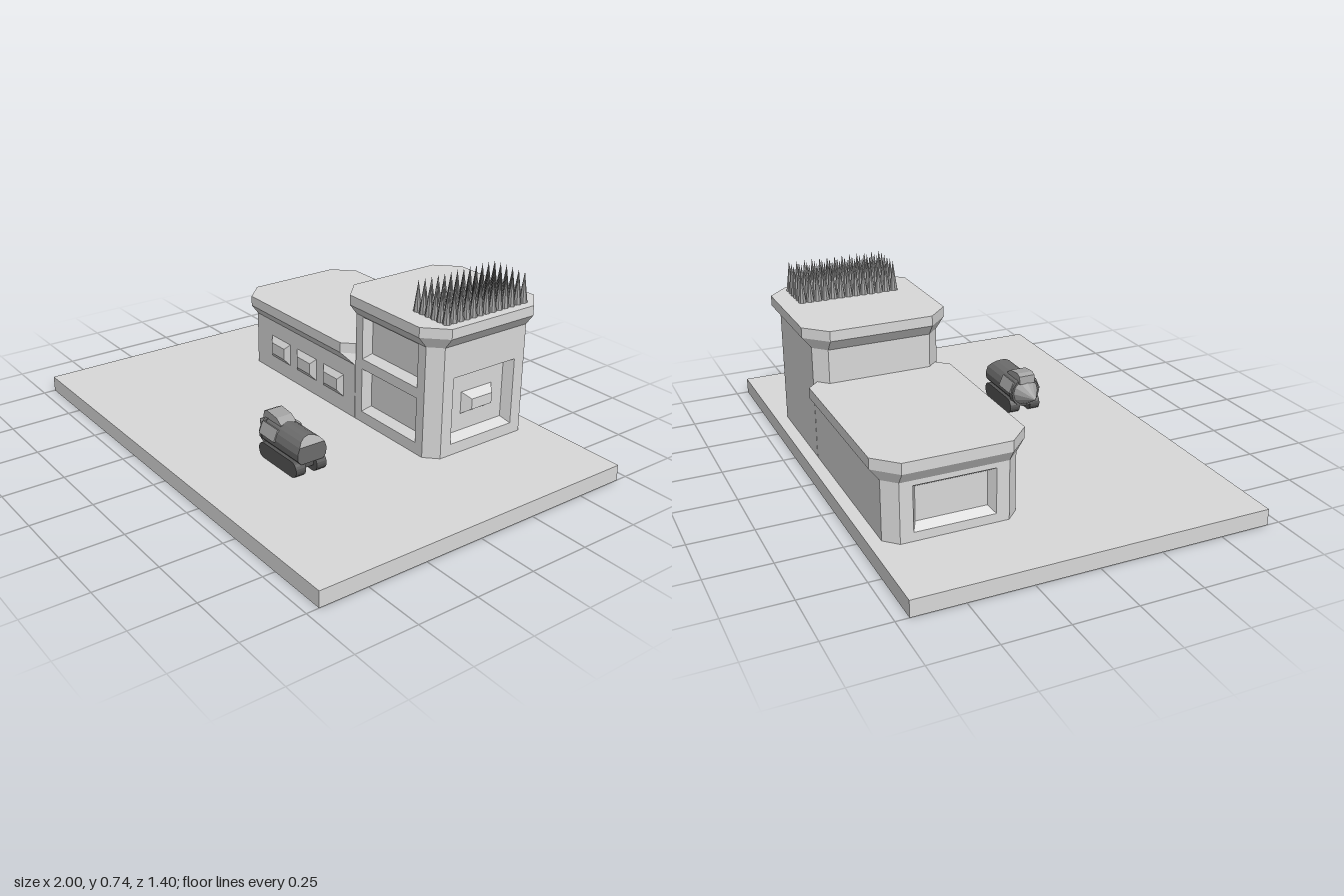
import * as THREE from 'three';

const concrete = new THREE.MeshStandardMaterial({ color: 0xd8d8d8, name: 'light concrete' });
const steel = new THREE.MeshStandardMaterial({ color: 0xa2a2a2, name: 'mid steel' });
const hullGrey = new THREE.MeshStandardMaterial({ color: 0x6c6c6c, name: 'hull grey' });
const trackGrey = new THREE.MeshStandardMaterial({ color: 0x565656, name: 'track grey' });

function flat(geometry) {
  const g = geometry.index ? geometry.toNonIndexed() : geometry;
  g.computeVertexNormals();
  return g;
}

function add(parent, name, geometry, material, x = 0, y = 0, z = 0) {
  const mesh = new THREE.Mesh(flat(geometry), material);
  mesh.name = name;
  mesh.position.set(x, y, z);
  parent.add(mesh);
  return mesh;
}

function fromTriangles(points) {
  const g = new THREE.BufferGeometry();
  g.setAttribute('position', new THREE.Float32BufferAttribute(points.flat(), 3));
  return g;
}

const quad = (a, b, c, d) => [a, b, c, a, c, d];

// Triangles filling a convex outline
function fan(points) {
  const tris = [];
  for (let i = 1; i + 1 < points.length; i++) tris.push(points[0], points[i], points[i + 1]);
  return tris;
}

// Rectangle with cut corners; side 1 is right, 3 back, 5 left, 7 front
function octagon(x0, x1, z0, z1, c, y) {
  return [[x1 - c, y, z1], [x1, y, z1 - c], [x1, y, z0 + c], [x1 - c, y, z0],
    [x0 + c, y, z0], [x0, y, z0 + c], [x0, y, z1 - c], [x0 + c, y, z1]];
}

// Skin through stacked octagons, optionally capped and with sides left open
function loft(rings, openSides = [], cap = false) {
  const tris = cap ? fan(rings[rings.length - 1]) : [];
  for (let r = 0; r + 1 < rings.length; r++) {
    for (let i = 0; i < 8; i++) {
      if (openSides.includes(i)) continue;
      const j = (i + 1) % 8;
      tris.push(...quad(rings[r][i], rings[r][j], rings[r + 1][j], rings[r + 1][i]));
    }
  }
  return fromTriangles(tris);
}

// Bevelled pane facing +z: negative depth sinks in, positive stands out
function pane([u0, u1, v0, v1], insetU, insetV, depth, start = 0) {
  const rect = (a, b, z) => [[u0 + a, v0 + b, z], [u1 - a, v0 + b, z], [u1 - a, v1 - b, z], [u0 + a, v1 - b, z]];
  const o = rect(0, 0, start), n = rect(insetU, insetV, start + depth);
  const tris = quad(...n);
  for (let i = 0; i < 4; i++) {
    const j = (i + 1) % 4;
    tris.push(...quad(o[i], o[j], n[j], n[i]));
  }
  return fromTriangles(tris);
}

function rectPath(Type, [u0, u1, v0, v1]) {
  const p = new Type();
  p.moveTo(u0, v0).lineTo(u1, v0).lineTo(u1, v1).lineTo(u0, v1).closePath();
  return p;
}

// Flat wall with sunken windows
function windowWall(name, area, holes, depth) {
  const wall = new THREE.Group();
  wall.name = name;
  const shape = rectPath(THREE.Shape, area);
  for (const h of holes) shape.holes.push(rectPath(THREE.Path, h));
  add(wall, 'wallFace', new THREE.ShapeGeometry(shape), concrete);
  for (const h of holes) add(wall, 'sunkenWindow', pane(h, 0.02, 0.022, -depth), concrete);
  return wall;
}

function createBuilding() {
  const building = new THREE.Group();
  building.name = 'building';
  const ground = 0.065, zBack = -0.65, zFront = -0.135, cut = 0.05;

  // Walls and flared roof of one block
  function block(name, x0, x1, r0, r1, eave, top, openSides) {
    const wall = (y) => octagon(x0, x1, zBack, zFront, cut, y);
    const roof = (y) => octagon(r0, r1, -0.685, -0.1, 0.085, y);
    add(building, name + 'Walls', loft([wall(ground), wall(eave)], openSides), concrete);
    add(building, name + 'Roof', loft([wall(eave), roof(eave + 0.045), roof(top)], [], true), concrete);
  }
  block('hall', -0.67, 0.145, -0.7, 0.125, 0.3, 0.388, [5]);
  block('tower', 0.048, 0.568, 0.015, 0.602, 0.525, 0.611, [1, 7]);

  // Tower front with two large windows
  const front = windowWall('towerFront', [0.098, 0.518, ground, 0.525],
    [[0.14, 0.475, 0.343, 0.522], [0.14, 0.475, 0.112, 0.3]], 0.035);
  front.position.z = zFront;
  building.add(front);

  // Tower side with a framed block inside the recess
  const side = windowWall('towerSide', [0.185, 0.6, ground, 0.525], [[0.235, 0.55, 0.112, 0.39]], 0.04);
  add(side, 'windowBlock', pane([0.315, 0.47, 0.205, 0.297], 0.026, 0.024, 0.035, -0.04), concrete);
  side.rotation.y = Math.PI / 2;
  side.position.x = 0.568;
  building.add(side);

  // Hall end wall
  const end = windowWall('hallEnd', [-0.6, -0.185, ground, 0.3], [[-0.55, -0.235, 0.1, 0.28]], 0.035);
  end.rotation.y = -Math.PI / 2;
  end.position.x = -0.67;
  building.add(end);

  // Raised windows along the hall
  for (let i = 0; i < 3; i++) {
    const u = -0.505 + i * 0.192;
    add(building, 'hallWindow', pane([u, u + 0.14, 0.132, 0.23], 0.023, 0.024, 0.018), concrete, 0, 0, zFront);
  }

  // Roof spikes
  const spikes = new THREE.Group();
  spikes.name = 'roofSpikes';
  const cone = new THREE.ConeGeometry(0.0172, 0.125, 8, 1, true);
  for (let i = 0; i < 6; i++) {
    for (let j = 0; j < 13; j++) {
      add(spikes, 'spike', cone, steel, 0.385 + i * 0.0328, 0.6735, -0.203 - j * 0.0325);
    }
  }
  building.add(spikes);
  return building;
}

function createDrillVehicle() {
  const vehicle = new THREE.Group();
  vehicle.name = 'drillVehicle';
  vehicle.position.z = 0.288;

  // Rounded hull along x: an upright tail below, a sloped tail plate above
  const shoulder = 0.195, radius = 0.066, axis = 0.16;
  const start = Math.asin((shoulder - axis) / radius);
  const arc = (from, to, n) => Array.from({ length: n + 1 }, (_, i) => {
    const a = from + (to - from) * i / n;
    const y = Math.max(axis + radius * Math.sin(a), 0.125);
    return [0.388 - Math.max(0, y - shoulder) * 0.8, y, -radius * Math.cos(a)];
  });
  const upper = arc(start, Math.PI - start, 6);
  const lower = arc(Math.PI - start, 2 * Math.PI + start, 10);
  const skin = [];
  for (const edge of [upper, lower]) {
    for (let i = 0; i + 1 < edge.length; i++) {
      const [a, b] = [edge[i], edge[i + 1]];
      skin.push(...quad(a, [0.13, a[1], a[2]], [0.13, b[1], b[2]], b));
    }
  }
  add(vehicle, 'hull', fromTriangles(skin), hullGrey);
  add(vehicle, 'tail', fromTriangles(fan(lower)), hullGrey);
  add(vehicle, 'tailPlate', fromTriangles(fan(upper)), steel);
  add(vehicle, 'underframe', new THREE.BoxGeometry(0.2, 0.04, 0.06), trackGrey, 0.26, 0.11, 0);

  // Drill cone with collar
  add(vehicle, 'drill', new THREE.ConeGeometry(0.06, 0.1, 12).rotateZ(Math.PI / 2), steel, 0.085, 0.16, 0);
  add(vehicle, 'drillCollar', new THREE.CylinderGeometry(0.064, 0.069, 0.02, 14).rotateZ(Math.PI / 2), hullGrey, 0.14, 0.16, 0);

  // Cabin
  const cab = new THREE.Shape();
  cab.moveTo(0.115, 0.205).lineTo(0.235, 0.205).lineTo(0.235, 0.22).lineTo(0.205, 0.24)
    .lineTo(0.14, 0.247).lineTo(0.12, 0.238).closePath();
  add(vehicle, 'cabin', new THREE.ExtrudeGeometry(cab, { depth: 0.07, bevelEnabled: false }), steel, 0, 0, -0.035);

  // Side plates and tracks, mirrored
  const track = new THREE.Shape();
  track.moveTo(0.165, 0.065).lineTo(0.352, 0.065).absarc(0.352, 0.097, 0.032, -Math.PI / 2, Math.PI / 2)
    .lineTo(0.165, 0.129).absarc(0.165, 0.097, 0.032, Math.PI / 2, Math.PI * 1.5);
  const trackGeo = new THREE.ExtrudeGeometry(track, { depth: 0.044, bevelEnabled: false, curveSegments: 5 });
  for (const s of [-1, 1]) {
    add(vehicle, 'track', trackGeo, trackGrey, 0, 0, s * 0.047 - 0.022);
    const plate = add(vehicle, 'sidePlate', new THREE.BoxGeometry(0.1, 0.05, 0.008), steel, 0.19, 0.185, s * 0.06);
    plate.rotation.x = -s * 0.4;
  }
  return vehicle;
}

export function createModel() {
  const model = new THREE.Group();
  model.name = 'outpost';
  add(model, 'baseSlab', new THREE.BoxGeometry(2, 0.065, 1.4), concrete, 0, 0.0325, 0);
  model.add(createBuilding(), createDrillVehicle());
  return model;
}
